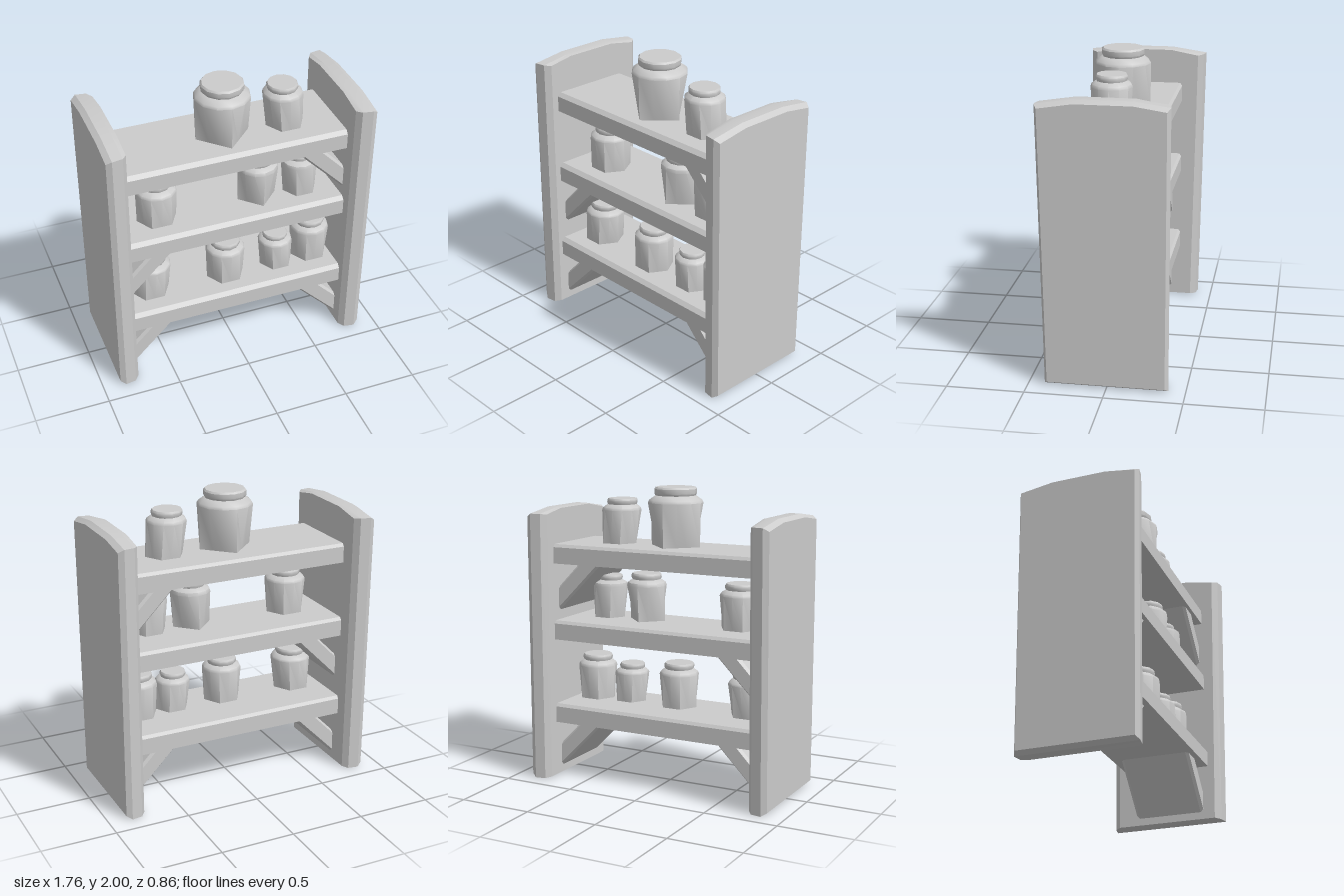
import * as THREE from 'three';
import { toCreasedNormals } from 'three/addons/utils/BufferGeometryUtils.js';

const material = new THREE.MeshStandardMaterial({ color: 0xcccccc });

function addMesh(parent, name, geometry, crease = 0.3) {
  const mesh = new THREE.Mesh(toCreasedNormals(geometry, crease), material);
  mesh.name = name;
  parent.add(mesh);
  return mesh;
}

// Closed solid through convex loops, each anticlockwise seen from the end
function loft(loops) {
  const n = loops[0].length;
  const index = [];
  for (let i = 0; i < loops.length - 1; i++) {
    for (let j = 0; j < n; j++) {
      const a = i * n + j, b = i * n + (j + 1) % n;
      index.push(a, b, b + n, a, b + n, a + n);
    }
  }
  const last = (loops.length - 1) * n;
  for (let j = 1; j < n - 1; j++) {
    index.push(0, j + 1, j, last, last + j, last + j + 1);
  }
  const geometry = new THREE.BufferGeometry();
  geometry.setAttribute('position', new THREE.Float32BufferAttribute(loops.flat(2), 3));
  geometry.setIndex(index);
  return geometry;
}

// Upright end panel with a crowned top and chamfered rim
function panelGeometry() {
  const section = ([x, dz, dy]) => [
    [x, 1.85 - dy, 0.19], [x, 1.815 - dy, 0.43 - dz], [x, dy, 0.40 - dz],
    [x, dy, -0.39 + dz], [x, 1.82 - dy, -0.39 + dz], [x, 1.85 - dy, -0.17],
  ];
  return loft([[0.745, 0.05, 0.006], [0.775, 0.012, 0], [0.845, 0, 0], [0.88, 0.02, 0.022]].map(section));
}

// Plank with a small chamfer along its top edges
function shelfGeometry(top, front) {
  const bottom = top - 0.13;
  const section = (x) => [
    [x, top, -0.255], [x, top, front - 0.025], [x, top - 0.025, front],
    [x, bottom, front], [x, bottom, -0.27], [x, top - 0.02, -0.27],
  ];
  return loft([section(-0.77), section(0.77)]);
}

// Diagonal brace under a shelf, ends buried in the shelf and the panel
function braceGeometry(shelfBottom) {
  const y = shelfBottom;
  const section = ([z, inset]) => [
    [0.385 + inset, y + 0.04], [0.78, y - 0.36 + inset],
    [0.78, y - 0.195 - inset], [0.55 - inset, y + 0.04],
  ].map(([px, py]) => [px, py, z]);
  return loft([[-0.21, 0.02], [-0.19, 0], [0.25, 0], [0.27, 0.02]].map(section));
}

// Jar: round at the shoulder, roughly polygonal at the base, leaning a little
function addJar(parent, { x, y, z, r, h, lid, sides = 6, lean = 0 }) {
  const jar = new THREE.Group();
  jar.name = 'jar';
  jar.position.set(x, y, z);
  parent.add(jar);
  const neck = h - r * 0.3;
  const shear = (geometry) => {
    const p = geometry.attributes.position;
    for (let i = 0; i < p.count; i++) p.setX(i, p.getX(i) + lean * p.getY(i) / h);
    return geometry;
  };
  const lathe = (points) => new THREE.LatheGeometry(points.map(([a, b]) => new THREE.Vector2(a, b)), 12);

  const body = lathe([[0, 0], [r, 0], [r * 1.02, h * 0.74], [r * 0.97, neck - r * 0.17], [lid * 0.96, neck], [0, neck]]);
  const p = body.attributes.position;
  const step = 2 * Math.PI / sides;
  for (let i = 0; i < p.count; i++) {
    if (p.getY(i) > 0.001) continue;
    const angle = Math.atan2(p.getZ(i), p.getX(i)) + 2 * Math.PI;
    const k = Math.cos(step / 2) / Math.cos(angle % step - step / 2);
    p.setX(i, p.getX(i) * k);
    p.setZ(i, p.getZ(i) * k);
  }
  addMesh(jar, 'jarBody', shear(body), 0.65);

  const top = lathe([[0, neck - 0.004], [lid * 0.96, neck - 0.004], [lid * 1.02, neck + 0.012], [lid * 1.02, h - 0.012], [lid * 0.95, h], [0, h]]);
  addMesh(jar, 'jarLid', shear(top), 0.65);
}

export function createModel() {
  const group = new THREE.Group();
  group.name = 'jarShelf';

  // End panels
  addMesh(group, 'leftPanel', panelGeometry());
  addMesh(group, 'rightPanel', panelGeometry()).rotation.y = Math.PI;

  // Shelves
  addMesh(group, 'bottomShelf', shelfGeometry(0.51, 0.31));
  addMesh(group, 'middleShelf', shelfGeometry(1.09, 0.3));
  addMesh(group, 'topShelf', shelfGeometry(1.61, 0.295));

  // Braces
  const braces = [['bottomLeftBrace', 0.38, 1], ['bottomRightBrace', 0.38, -1], ['middleRightBrace', 0.96, -1], ['topLeftBrace', 1.48, 1]];
  for (const [name, y, side] of braces) {
    const brace = addMesh(group, name, braceGeometry(y));
    if (side < 0) {
      brace.rotation.y = Math.PI;
      brace.position.z = 0.06;
    }
  }

  // Jars
  const jars = [
    { x: -0.02, y: 1.61, z: 0.035, r: 0.18, h: 0.39, lid: 0.138, sides: 4 },
    { x: 0.41, y: 1.61, z: 0.04, r: 0.13, h: 0.3, lid: 0.1, lean: -0.025 },
    { x: -0.485, y: 1.09, z: 0.06, r: 0.135, h: 0.3, lid: 0.1 },
    { x: 0.21, y: 1.09, z: 0.07, r: 0.132, h: 0.32, lid: 0.1, sides: 4, lean: 0.01 },
    { x: 0.515, y: 1.09, z: 0.08, r: 0.117, h: 0.29, lid: 0.078, lean: -0.012 },
    { x: -0.555, y: 0.51, z: 0.07, r: 0.133, h: 0.29, lid: 0.1, lean: 0.015 },
    { x: -0.02, y: 0.51, z: 0.09, r: 0.131, h: 0.3, lid: 0.1 },
    { x: 0.355, y: 0.51, z: 0.09, r: 0.115, h: 0.262, lid: 0.085, lean: -0.012 },
    { x: 0.61, y: 0.51, z: 0.07, r: 0.131, h: 0.305, lid: 0.1 },
  ];
  jars.forEach((jar) => addJar(group, jar));

  return group;
}
